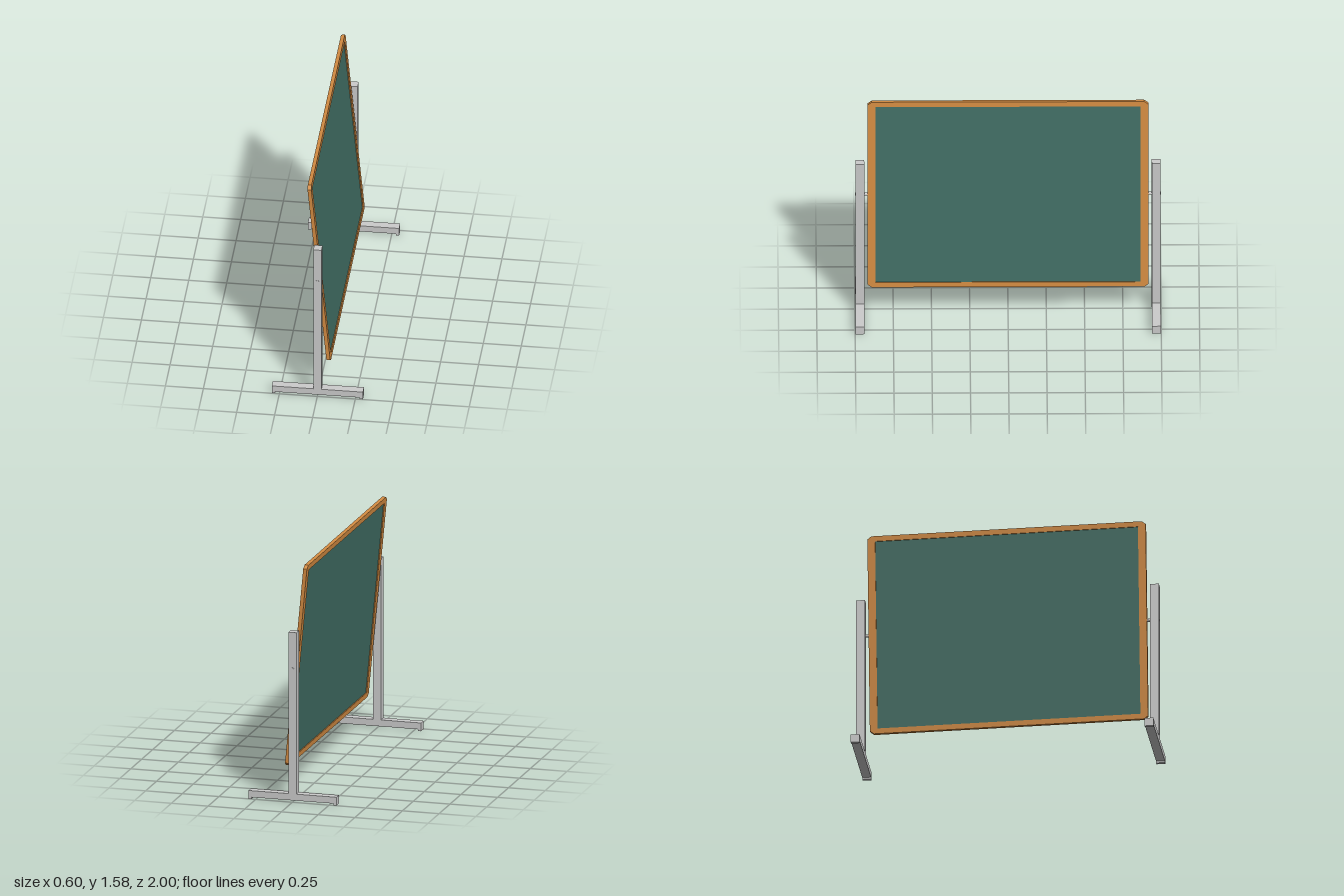
import * as THREE from 'three';

const grey = new THREE.MeshStandardMaterial({ color: 0xcccccc });
const wood = new THREE.MeshStandardMaterial({ color: 0xd48c42 });
const slate = new THREE.MeshStandardMaterial({ color: 0x426f65 });

const PIVOT_Y = 0.9;
const TILT = 0.0935;

function polygon(points) {
  return points.map(([x, y]) => new THREE.Vector2(x, y));
}

// Extrusion centred on its depth
function slab(shape, depth) {
  return new THREE.ExtrudeGeometry(shape, { depth, bevelEnabled: false }).translate(0, 0, -depth / 2);
}

function addMesh(parent, name, geometry, material) {
  const mesh = new THREE.Mesh(geometry, material);
  mesh.name = name;
  parent.add(mesh);
  return mesh;
}

export function createModel() {
  const model = new THREE.Group();
  model.name = 'tiltingBoard';

  // Board: chamfered frame around a recessed writing panel, turned to face the sides
  const board = new THREE.Group();
  board.name = 'board';
  board.position.y = PIVOT_Y;
  board.rotation.z = TILT;
  model.add(board);

  const w = 0.917, h = 0.685, cx = 0.027, cy = 0.02;
  const iw = 0.866, ih = 0.649;
  const outline = new THREE.Shape(polygon([
    [-w + cx, -h], [w - cx, -h], [w, -h + cy], [w, h - cy],
    [w - cx, h], [-w + cx, h], [-w, h - cy], [-w, -h + cy],
  ]));
  outline.holes.push(new THREE.Path(polygon([[-iw, -ih], [-iw, ih], [iw, ih], [iw, -ih]])));
  addMesh(board, 'frame', slab(outline, 0.025).rotateY(Math.PI / 2), wood);
  addMesh(board, 'writingPanel', new THREE.BoxGeometry(0.012, ih * 2 + 0.01, iw * 2 + 0.01), slate);

  // Stands: upright, crossbar foot and end pads share one flush profile
  const half = [
    [0.278, 0.012], [0.278, 0], [0.3, 0], [0.3, 0.056], [0.027, 0.056], [0.027, 1.148],
  ];
  const mirrored = half.map(([x, y]) => [-x, y]).reverse();
  const standGeometry = slab(new THREE.Shape(polygon([...half, ...mirrored])), 0.058);

  for (const [side, s] of [['front', 1], ['back', -1]]) {
    addMesh(model, side + 'Stand', standGeometry, grey).position.z = s * 0.968;

    // Pivot pin from the frame through the upright
    const pin = addMesh(model, side + 'PivotPin',
      new THREE.CylinderGeometry(0.0105, 0.0105, 0.1, 16).rotateX(Math.PI / 2), grey);
    pin.position.set(0, PIVOT_Y, s * 0.95);
  }

  return model;
}
